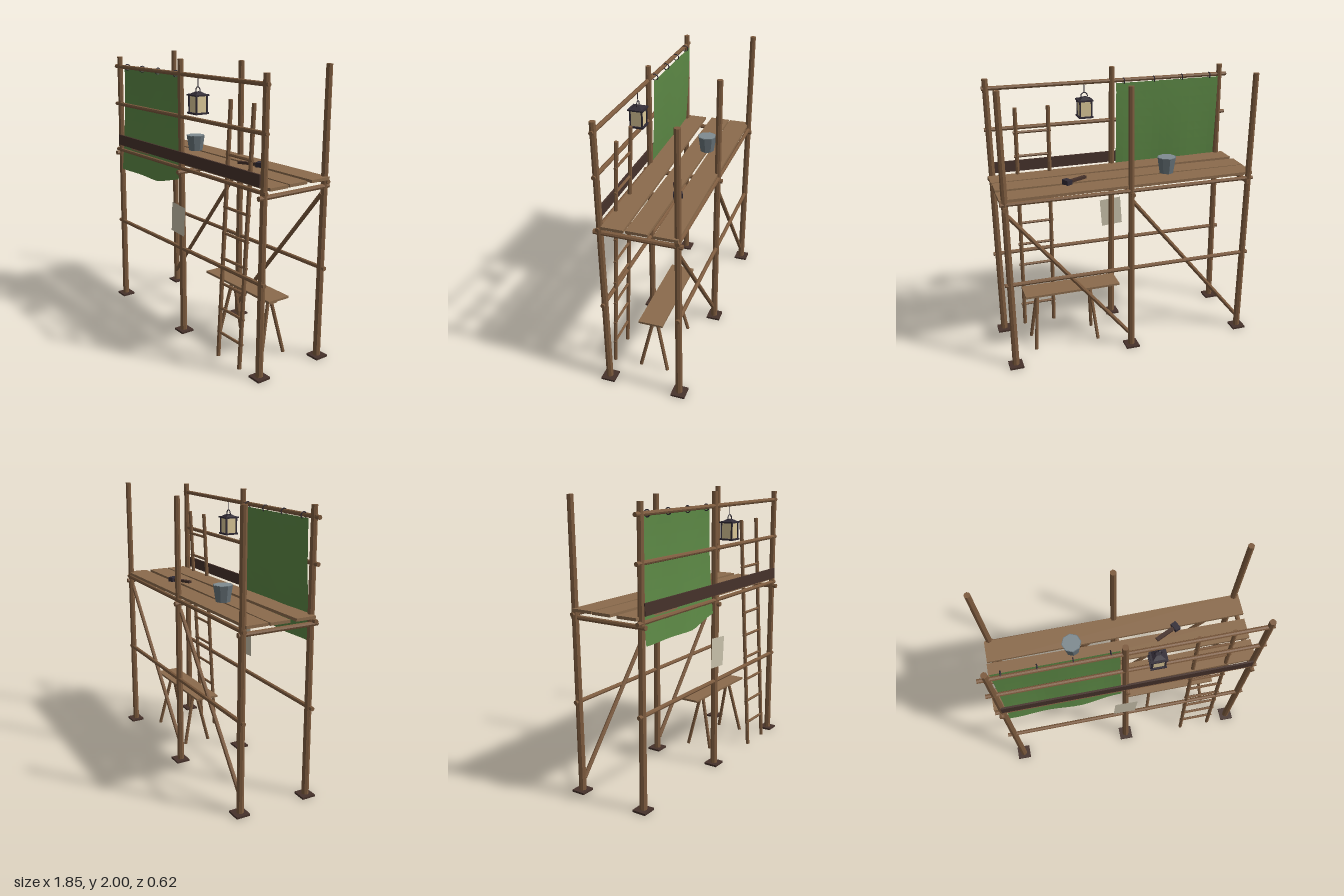
import * as THREE from 'three';

const mat = (name, color, double) => {
  const m = new THREE.MeshStandardMaterial({ color, flatShading: true });
  m.name = name;
  if (double) m.side = THREE.DoubleSide;
  return m;
};

export function createModel() {
  const root = new THREE.Group();
  root.name = 'scaffold';
  const pole = mat('pole wood', 0x7d5b3e);
  const plank = mat('plank wood', 0x8b6b4c);
  const dark = mat('dark wood', 0x46322b);
  const iron = mat('iron', 0x312b35);
  const cloth = mat('green cloth', 0x5c8845, true);
  const paper = mat('paper', 0xc8c0aa, true);
  const glass = mat('lamp glass', 0xd8c596);
  const zinc = mat('zinc', 0x68747a);
  const water = mat('water', 0x7f8b90);

  const add = (name, geo, material, x = 0, y = 0, z = 0, parent = root) => {
    const m = new THREE.Mesh(geo, material);
    m.name = name;
    m.position.set(x, y, z);
    parent.add(m);
    return m;
  };
  const box = (name, w, h, d, material, x, y, z, parent) =>
    add(name, new THREE.BoxGeometry(w, h, d), material, x, y, z, parent);
  // Round stick between two points
  const stick = (name, a, b, r, material = pole, parent = root, sides = 8, rTop = r) => {
    const A = new THREE.Vector3(...a), B = new THREE.Vector3(...b);
    const dir = B.clone().sub(A);
    const m = add(name, new THREE.CylinderGeometry(rTop, r, dir.length(), sides), material, 0, 0, 0, parent);
    m.position.copy(A).add(B).multiplyScalar(0.5);
    m.quaternion.setFromUnitVectors(new THREE.Vector3(0, 1, 0), dir.normalize());
    return m;
  };

  // Slightly leaning posts on square base plates: foot x, foot z, top x, top z, height
  [
    [-0.875, 0.255, -0.858, 0.25, 1.97], [0, 0.255, -0.015, 0.25, 2], [0.875, 0.255, 0.888, 0.25, 1.97],
    [-0.875, -0.262, -0.888, -0.268, 2], [0, -0.262, 0.01, -0.262, 1.97], [0.875, -0.262, 0.885, -0.262, 2],
  ].forEach(([x, z, tx, tz, h]) => {
    stick('post', [x, 0.01, z], [tx, h, tz], 0.025, pole, root, 8, 0.021);
    box('basePlate', 0.1, 0.014, 0.1, dark, x, 0.007, z < 0 ? -0.265 : 0.252);
  });

  // Long rails
  [[1.9, 0.252], [1.61, 0.256], [1.245, 0.258], [0.65, 0.258], [1.245, -0.268], [0.65, -0.265]]
    .forEach(([y, z]) => stick('rail', [-0.915, y - 0.004, z], [0.915, y + 0.004, z], 0.015));

  // Cross poles under the deck
  for (const x of [-0.875, 0, 0.885]) stick('crossPole', [x, 1.218, -0.295], [x, 1.218, 0.295], 0.017);

  // Diagonal braces at the back
  stick('brace', [-0.865, 0.1, -0.25], [0, 1.17, -0.25], 0.015);
  stick('brace', [0.01, 0.1, -0.25], [0.875, 1.17, -0.25], 0.015);

  // Deck boards, each turned a little
  [[0, -0.188, 0.157, 0.007], [-0.004, -0.012, 0.146, -0.008], [0, 0.166, 0.148, 0.012]]
    .forEach(([x, z, d, turn], i) => {
      box('deckBoard', 1.835, 0.02, d, plank, x, 1.274 - 0.001 * i, z).rotation.y = turn;
    });
  box('toeBoard', 1.735, 0.08, 0.013, dark, 0.005, 1.325, 0.274);

  // Hanging cloth with soft waves and a lifted lower corner
  const sheet = new THREE.PlaneGeometry(1, 1, 14, 12);
  const p = sheet.attributes.position;
  for (let i = 0; i < p.count; i++) {
    const u = p.getX(i) + 0.5, down = 0.5 - p.getY(i);
    const bottom = 1.09 + 0.065 * Math.max(0, (u - 0.67) / 0.33);
    p.setXYZ(i, -0.838 + 0.798 * u, 1.885 - down * (1.885 - bottom),
      0.222 + 0.04 * down * down + 0.006 * down * Math.sin(u * 11 + 1));
  }
  add('cloth', sheet, cloth);
  for (const x of [-0.77, -0.55, -0.33, -0.1])
    add('clothTie', new THREE.TorusGeometry(0.022, 0.004, 5, 10), iron, x, 1.895, 0.235).rotation.y = Math.PI / 2;

  // Notice sheet pinned to the middle post
  const notice = new THREE.Shape([[-0.088, 0.985], [-0.103, 0.768], [0.06, 0.757], [0.076, 0.972]]
    .map(([x, y]) => new THREE.Vector2(x, y)));
  add('notice', new THREE.ShapeGeometry(notice), paper, 0, 0, 0.284);

  // Lantern hanging from the top rail
  const lantern = new THREE.Group();
  lantern.name = 'lantern';
  lantern.position.set(0.192, 1.65, 0.25);
  root.add(lantern);
  box('lanternBase', 0.105, 0.012, 0.105, iron, 0, 0.006, 0, lantern);
  box('lanternGlass', 0.08, 0.11, 0.08, glass, 0, 0.066, 0, lantern);
  for (const x of [-0.042, 0.042]) for (const z of [-0.042, 0.042])
    box('lanternCorner', 0.01, 0.11, 0.01, iron, x, 0.066, z, lantern);
  box('lanternRoof', 0.11, 0.01, 0.11, iron, 0, 0.126, 0, lantern);
  add('lanternCap', new THREE.CylinderGeometry(0.02, 0.06, 0.018, 4), iron, 0, 0.139, 0, lantern).rotation.y = Math.PI / 4;
  add('lanternRing', new THREE.TorusGeometry(0.024, 0.004, 5, 12), iron, 0, 0.155, 0, lantern);
  stick('lanternWire', [0, 0.178, 0], [0, 0.25, 0], 0.003, iron, lantern, 5);

  // Ladder leaning inward
  const ladderZ = y => 0.285 - 0.095 * y / 1.77;
  for (const x of [0.472, 0.705])
    stick('ladderRail', [x, 0.003, ladderZ(0)], [x, 1.77, ladderZ(1.77)], 0.0145);
  for (let i = 0; i < 9; i++) {
    const y = 0.18 + i * 0.1765;
    stick('ladderRung', [0.455, y, ladderZ(y)], [0.725, y, ladderZ(y)], 0.01, pole, root, 6);
  }

  // Work trestle
  box('trestleTop', 0.71, 0.015, 0.175, plank, 0.395, 0.438, -0.013);
  box('trestleBeam', 0.52, 0.036, 0.055, plank, 0.44, 0.413, -0.013);
  for (const [top, foot] of [[0.252, 0.218], [0.655, 0.695]])
    for (const s of [-1, 1])
      stick('trestleLeg', [foot, 0.005, -0.013 + s * 0.1], [top, 0.4, -0.013 + s * 0.012], 0.013, pole, root, 7);

  // Bucket on the deck
  add('bucket', new THREE.CylinderGeometry(0.07, 0.052, 0.115, 8), zinc, -0.32, 1.342, -0.085);
  add('bucketWater', new THREE.CylinderGeometry(0.065, 0.065, 0.003, 8), water, -0.32, 1.4, -0.085);

  // Mallet lying on the deck
  const mallet = new THREE.Group();
  mallet.name = 'mallet';
  mallet.position.set(0.42, 1.298, -0.105);
  mallet.rotation.y = 0.44;
  root.add(mallet);
  box('malletHandle', 0.16, 0.018, 0.028, dark, -0.085, 0, 0, mallet);
  box('malletHead', 0.042, 0.036, 0.062, iron, 0, 0, 0, mallet);

  return root;
}
